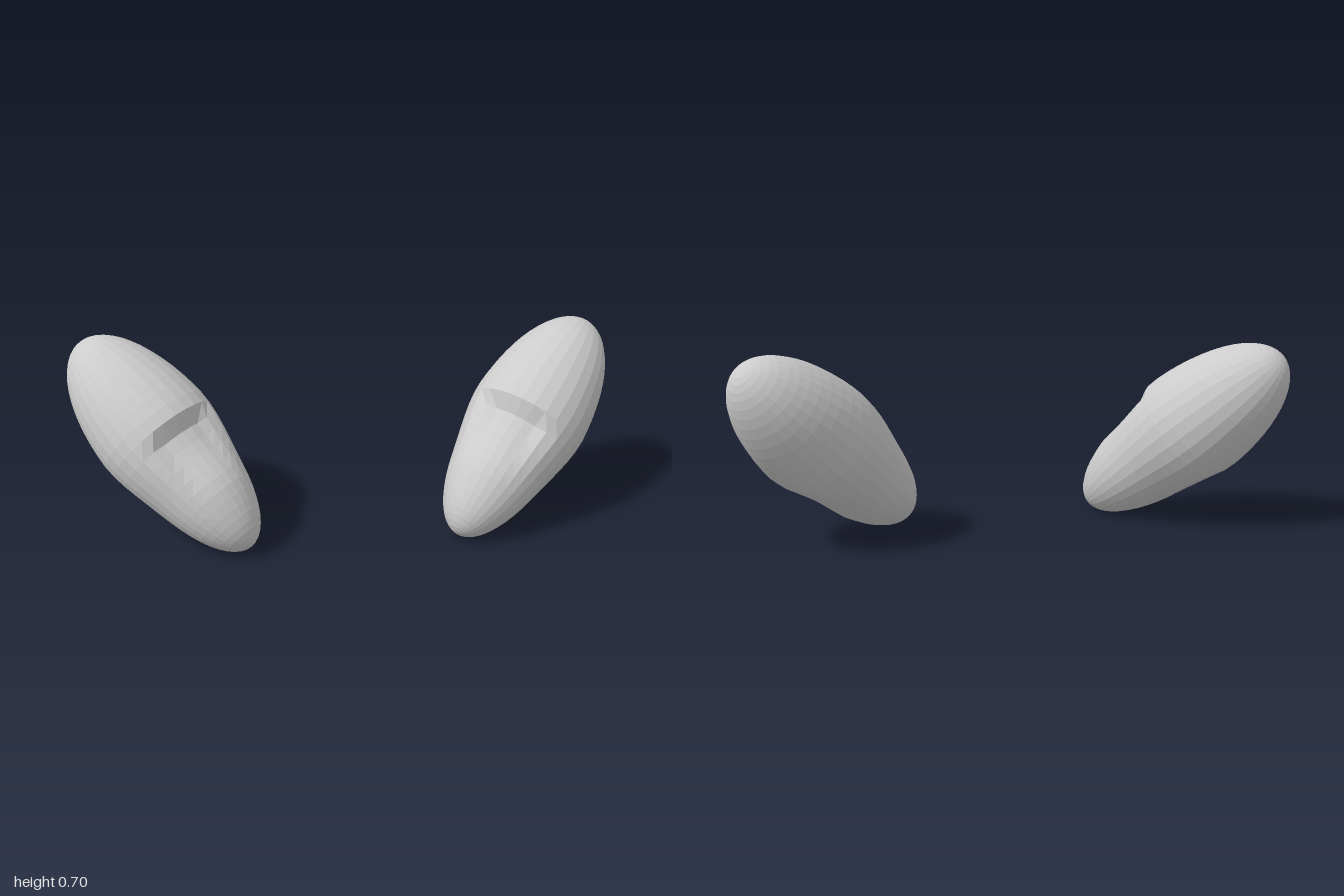
import * as THREE from 'three';

const CENTRE = new THREE.Vector3(0.667, 0.3475, 0);
const LONG = new THREE.Vector3(0.595, 0.64, -0.485).normalize(); // rises outward and backward
const across = (x, y, z) => new THREE.Vector3(x, y, z).projectOnPlane(LONG).normalize();
const TOP = across(-0.53, 0.8, 0.27);
const SIDE = new THREE.Vector3().crossVectors(LONG, TOP);
const LIP = across(-0.31, 0.71, 0.63);
const DIMPLE = across(0.64, -0.74, -0.21);

const smooth = THREE.MathUtils.smoothstep;

// Inward step under the lip: steep at its upper edge, fading toward the low tip
function lipDent(s, radial) {
  const facing = smooth(radial.dot(LIP), 0.68, 0.92);
  return 0.038 * facing * (1 - smooth(s, -0.05, -0.005)) * smooth(s, -0.3, -0.05);
}

// Pinched dimple on the outer underside, drawn out toward the low tip
function dimple(s, radial) {
  const along = (s + 0.04) / (s < -0.04 ? 0.2 : 0.12);
  const around = radial.angleTo(DIMPLE) / 0.75;
  return 0.03 * Math.max(0, 1 - Math.hypot(along, around));
}

// Ellipsoid with a slimmer, longer lower half, then dented by rule
function bodyGeometry() {
  const geometry = new THREE.SphereGeometry(1, 28, 30);
  const pos = geometry.attributes.position;
  const v = new THREE.Vector3(), radial = new THREE.Vector3();
  for (let i = 0; i < pos.count; i++) {
    const t = pos.getY(i);
    const s = t * (t > 0 ? 0.474 : 0.498);
    const slim = THREE.MathUtils.lerp(0.87, 1, smooth(s, -0.25, 0.06));
    radial.set(0, 0, 0)
      .addScaledVector(SIDE, pos.getX(i) * 0.222 * slim)
      .addScaledVector(TOP, pos.getZ(i) * 0.218 * slim);
    v.copy(CENTRE).addScaledVector(LONG, s).add(radial);
    radial.normalize();
    v.addScaledVector(radial, -lipDent(s, radial) - dimple(s, radial));
    pos.setXYZ(i, v.x, v.y, v.z);
  }
  geometry.computeVertexNormals();
  return geometry;
}

// Mirror across x and turn the faces back outward
function mirrored(geometry) {
  const copy = geometry.clone().scale(-1, 1, 1);
  const index = copy.index;
  for (let i = 0; i < index.count; i += 3) {
    const first = index.getX(i);
    index.setX(i, index.getX(i + 2));
    index.setX(i + 2, first);
  }
  copy.computeVertexNormals();
  return copy;
}

export function createModel() {
  const group = new THREE.Group();
  const material = new THREE.MeshStandardMaterial({ color: 0xcccccc, flatShading: true });
  const left = bodyGeometry();
  for (const [name, geometry] of [['leftBody', left], ['rightBody', mirrored(left)]]) {
    const mesh = new THREE.Mesh(geometry, material);
    mesh.name = name;
    group.add(mesh);
  }
  return group;
}
